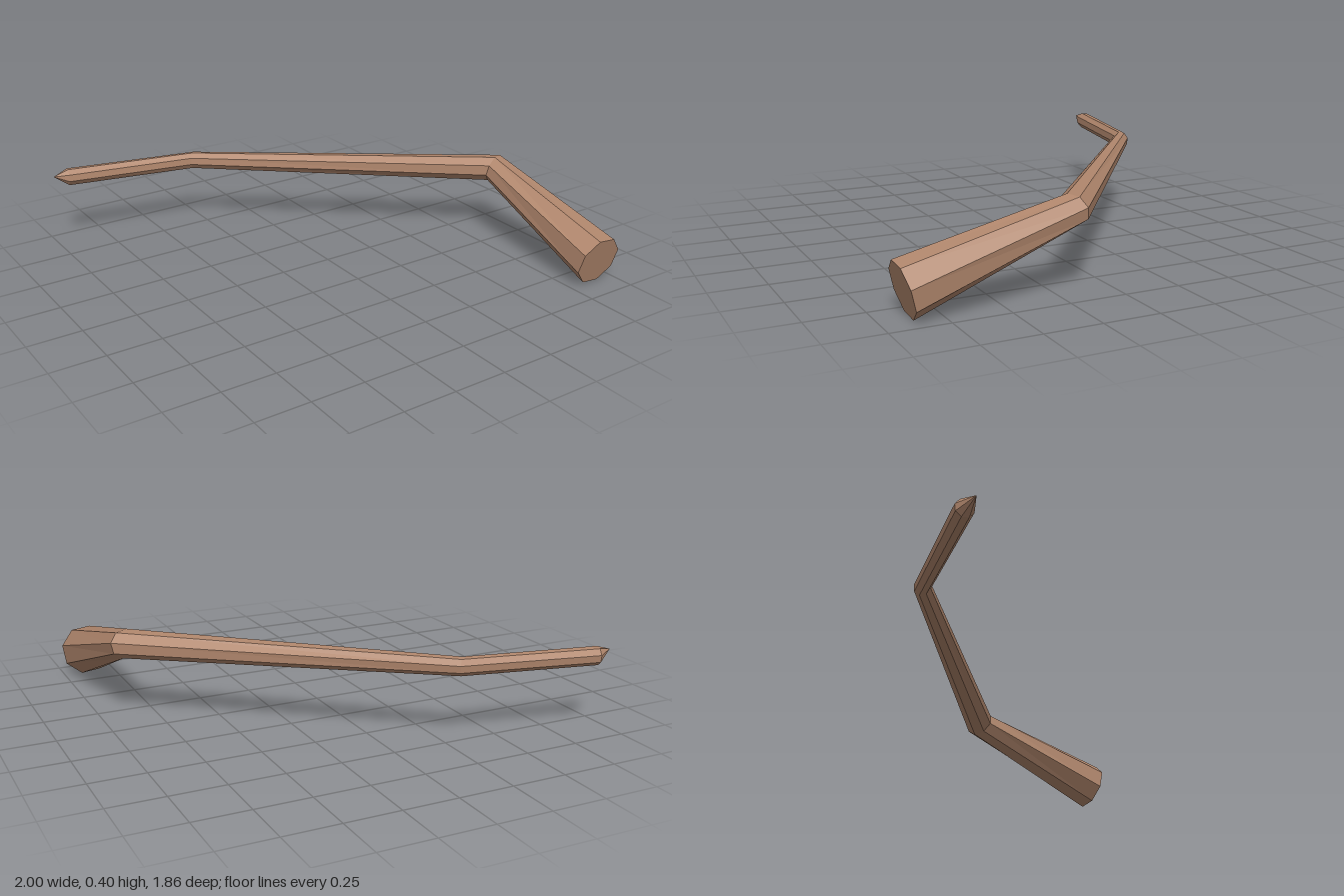
import * as THREE from 'three';

const SIDES = 8;
const ROLL = THREE.MathUtils.degToRad(16);

// Octagonal cross-section: centre, facing direction, half width, half height
function ring(center, facing, halfWidth, halfHeight) {
  const c = new THREE.Vector3(...center);
  const t = new THREE.Vector3(...facing).normalize();
  const u = new THREE.Vector3().crossVectors(t, new THREE.Vector3(0, 1, 0)).normalize();
  const v = new THREE.Vector3().crossVectors(u, t);
  return Array.from({ length: SIDES }, (_, i) => {
    const a = ROLL + (i / SIDES) * Math.PI * 2;
    return c.clone()
      .addScaledVector(u, Math.cos(a) * halfWidth)
      .addScaledVector(v, Math.sin(a) * halfHeight);
  });
}

function triangleMesh(name, points, material) {
  const geometry = new THREE.BufferGeometry().setFromPoints(points);
  geometry.computeVertexNormals();
  const mesh = new THREE.Mesh(geometry, material);
  mesh.name = name;
  return mesh;
}

// Side faces between two rings
function loft(from, to) {
  return from.flatMap((a, i) => {
    const j = (i + 1) % SIDES;
    return [a, to[i], from[j], from[j], to[i], to[j]];
  });
}

export function createModel() {
  const bark = new THREE.MeshStandardMaterial({ color: 0xb0866c });
  bark.name = 'brown';
  bark.flatShading = true;

  const rings = [
    ring([0.88, 0.118, 0.9], [0, 0.25, -0.97], 0.121, 0.122),
    ring([0.876, 0.347, 0.175], [-0.38, 0.2, -0.9], 0.08, 0.066),
    ring([-0.31, 0.345, -0.762], [-0.78, 0, -0.62], 0.039, 0.042),
    ring([-0.925, 0.345, -0.89], [-0.98, 0, -0.19], 0.041, 0.042),
  ];

  const group = new THREE.Group();
  group.name = 'bentLimb';

  // Tapering segments
  ['baseSegment', 'middleSegment', 'endSegment'].forEach((name, i) => {
    group.add(triangleMesh(name, loft(rings[i], rings[i + 1]), bark));
  });

  // Flat cut at the thick end
  const cut = new THREE.Vector3(0.88, 0.118, 0.9);
  const first = rings[0];
  group.add(triangleMesh('baseCap',
    first.flatMap((a, i) => [cut, a, first[(i + 1) % SIDES]]), bark));

  // Pointed thin end
  const point = new THREE.Vector3(-1, 0.363, -0.88);
  const last = rings[3];
  group.add(triangleMesh('tip',
    last.flatMap((a, i) => [a, point, last[(i + 1) % SIDES]]), bark));

  return group;
}
